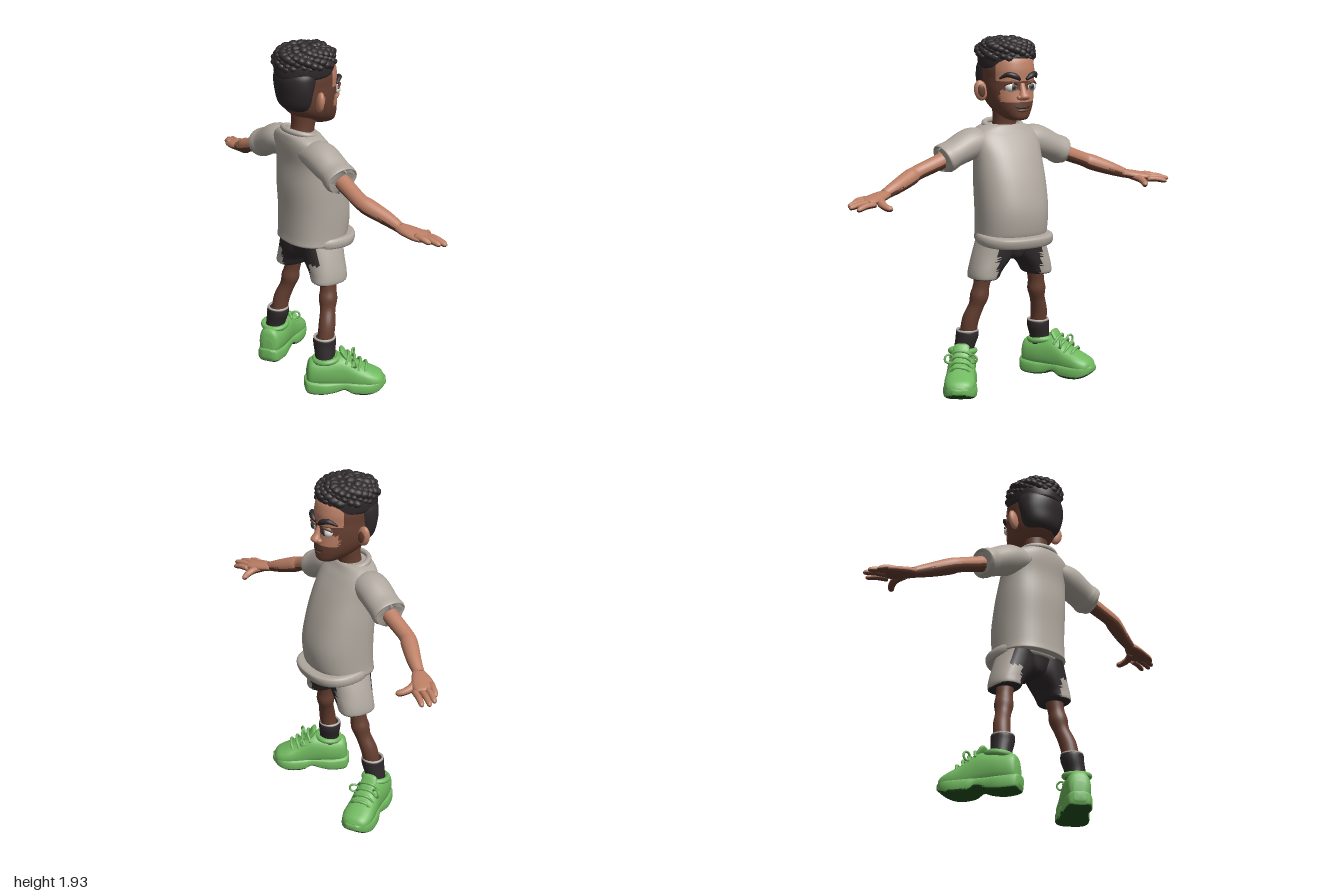
import * as THREE from 'three';

const material = (name, color) => {
  const m = new THREE.MeshStandardMaterial({ color });
  m.name = name;
  return m;
};
const M = {
  skin: material('light skin', 0xbd8066),
  shade: material('dark skin', 0x663f31),
  cloth: material('warm grey cloth', 0xb0a89f),
  dark: material('charcoal', 0x2f292b),
  green: material('shoe green', 0x70b85f),
  sole: material('sole green', 0x23501f),
  white: material('eye white', 0xe2deda),
  iris: material('iris grey', 0x4c4b50),
};
const V = (x, y, z) => new THREE.Vector3(x, y, z);
const UP = V(0, 1, 0), FWD = V(1, 0, 0);

// Smooth body through points [x, y, z, radius along ref, radius across]
function loft(pts, { ref = UP, axis = null, radial = 24, steps = 6, pow = 1 } = {}) {
  const path = new THREE.CatmullRomCurve3(pts.map(p => V(p[0], p[1], p[2])), false, 'catmullrom');
  const radii = new THREE.CatmullRomCurve3(pts.map(p => V(p[3], p[4] ?? p[3], 0)), false, 'catmullrom');
  const rows = (pts.length - 1) * steps, pos = [], index = [];
  const bend = v => Math.sign(v) * Math.abs(v) ** pow;
  for (let i = 0; i <= rows; i++) {
    const c = path.getPoint(i / rows), r = radii.getPoint(i / rows);
    const t = axis ?? path.getTangent(i / rows);
    const n = ref.clone().addScaledVector(t, -ref.dot(t)).normalize();
    const b = t.clone().cross(n);
    for (let j = 0; j < radial; j++) {
      const a = j / radial * Math.PI * 2;
      const p = c.clone().addScaledVector(n, bend(Math.cos(a)) * Math.max(r.x, 0.002))
        .addScaledVector(b, bend(Math.sin(a)) * Math.max(r.y, 0.002));
      pos.push(p.x, p.y, p.z);
    }
  }
  for (let i = 0; i < rows; i++) for (let j = 0; j < radial; j++) {
    const k = (j + 1) % radial, a = i * radial, d = a + radial;
    index.push(a + j, a + k, d + k, a + j, d + k, d + j);
  }
  for (const [row, flip] of [[0, true], [rows, false]]) {
    const c = path.getPoint(row / rows), o = pos.length / 3;
    pos.push(c.x, c.y, c.z);
    for (let j = 0; j < radial; j++) {
      const a = row * radial + j, b = row * radial + (j + 1) % radial;
      index.push(o, flip ? b : a, flip ? a : b);
    }
  }
  const g = new THREE.BufferGeometry();
  g.setAttribute('position', new THREE.Float32BufferAttribute(pos, 3));
  g.setIndex(index);
  g.computeVertexNormals();
  return g;
}

// Sort faces into two material groups by a rule on face normal and centre
function twoTone(g, rule) {
  const p = g.attributes.position, idx = g.index.array, sets = [[], []];
  const tri = new THREE.Triangle(), n = V(), c = V();
  for (let i = 0; i < idx.length; i += 3) {
    tri.setFromAttributeAndIndices(p, idx[i], idx[i + 1], idx[i + 2]);
    tri.getNormal(n);
    tri.getMidpoint(c);
    sets[rule(n, c) ? 1 : 0].push(idx[i], idx[i + 1], idx[i + 2]);
  }
  g.setIndex([...sets[0], ...sets[1]]);
  g.addGroup(0, sets[0].length, 0);
  g.addGroup(sets[0].length, sets[1].length, 1);
  return g;
}
function add(parent, name, geometry, mat) {
  const mesh = new THREE.Mesh(geometry, mat);
  mesh.name = name;
  parent.add(mesh);
  return mesh;
}
const ball = (x, y, z, rx, ry, rz) => new THREE.SphereGeometry(1, 20, 14).scale(rx, ry, rz).translate(x, y, z);
const underside = n => n.y < -0.15;

function buildShoe(parent) {
  const shoe = new THREE.Group();
  shoe.name = 'shoe';
  shoe.position.set(0.005, 0, 0.31);
  shoe.rotation.y = -0.57;
  parent.add(shoe);
  add(shoe, 'shoeUpper', loft([[-0.21, 0.1, 0, 0.04, 0.03], [-0.19, 0.12, 0, 0.08, 0.058], [-0.12, 0.125, 0, 0.085, 0.072],
    [-0.04, 0.13, 0, 0.095, 0.074], [0.01, 0.125, 0, 0.095, 0.075], [0.08, 0.1, 0, 0.075, 0.08], [0.15, 0.085, 0, 0.055, 0.084],
    [0.2, 0.075, 0, 0.04, 0.066], [0.222, 0.07, 0, 0.015, 0.025]], { axis: FWD, pow: 0.85 }), M.green);
  add(shoe, 'shoeSole', twoTone(loft([[-0.222, 0.06, 0, 0.025, 0.03], [-0.2, 0.047, 0, 0.042, 0.062], [-0.12, 0.042, 0, 0.042, 0.078],
    [-0.05, 0.048, 0, 0.036, 0.074], [0, 0.056, 0, 0.028, 0.074], [0.05, 0.045, 0, 0.04, 0.086], [0.13, 0.044, 0, 0.042, 0.092],
    [0.19, 0.056, 0, 0.036, 0.075], [0.228, 0.065, 0, 0.015, 0.03]], { axis: FWD, pow: 0.55 }), n => n.y < -0.5), [M.green, M.sole]);
  add(shoe, 'ankleCollar', new THREE.TorusGeometry(0.066, 0.016, 10, 28).rotateX(Math.PI / 2).rotateZ(0.12).translate(-0.1, 0.205, 0), M.green);
  add(shoe, 'tongue', loft([[0.03, 0.19, 0, 0.014, 0.045], [0, 0.225, 0, 0.016, 0.046], [-0.018, 0.255, 0, 0.014, 0.04],
    [-0.022, 0.265, 0, 0.004, 0.02]], { ref: FWD }), M.green);
  // Laces across the instep, then the bow loops
  for (let i = 0; i < 4; i++) {
    const u = 0.02 + i * 0.033, y = 0.228 - i * 0.021;
    add(shoe, 'lace', loft([[u - 0.015, y - 0.035, -0.062, 0.007], [u, y, -0.03, 0.008], [u, y + 0.004, 0.03, 0.008],
      [u - 0.015, y - 0.035, 0.062, 0.007]], { radial: 8 }), M.green);
  }
  for (const s of [-1, 1])
    add(shoe, 'laceLoop', new THREE.TorusGeometry(0.023, 0.006, 8, 20).rotateY(Math.PI / 2 + s * 0.4).translate(0.05, 0.2, s * 0.066), M.green);
}

function buildHand(parent) {
  const hand = new THREE.Group();
  hand.name = 'hand';
  parent.add(hand);
  const skin = (name, pts) => add(hand, name, twoTone(loft(pts, { radial: 14, steps: 4 }), underside), [M.skin, M.shade]);
  skin('palm', [[0.005, 1.13, 0.74, 0.024, 0.028], [0.022, 1.122, 0.79, 0.026, 0.048], [0.045, 1.112, 0.85, 0.024, 0.058],
    [0.058, 1.108, 0.89, 0.018, 0.052], [0.062, 1.106, 0.9, 0.006, 0.03]]);
  const tips = [[0.04, 1.105, 0.955], [0.072, 1.1, 0.99], [0.105, 1.095, 0.998], [0.13, 1.085, 0.968]];
  tips.forEach(([x, y, z], i) => {
    const bx = 0.016 + i * 0.029, by = 1.117 - i * 0.006, bz = 0.868 - (i === 3 ? 0.012 : 0);
    skin('finger', [[bx, by, bz, 0.016], [(bx + x) / 2, (by + y) / 2 + 0.004, (bz + z) / 2, 0.016],
      [x, y, z - 0.012, 0.013], [x + 0.001, y, z, 0.004]]);
  });
  skin('thumb', [[0.04, 1.115, 0.79, 0.022], [0.09, 1.1, 0.815, 0.021], [0.135, 1.085, 0.81, 0.018],
    [0.16, 1.078, 0.795, 0.015], [0.168, 1.075, 0.788, 0.004]]);
}

// Arm, leg and ear on the +z side
function buildSide() {
  const side = new THREE.Group();
  side.name = 'rightSide';
  add(side, 'sleeve', loft([[-0.075, 1.36, 0.1, 0.06, 0.085], [-0.075, 1.35, 0.2, 0.085, 0.092], [-0.07, 1.305, 0.31, 0.076, 0.09],
    [-0.07, 1.287, 0.35, 0.08, 0.094], [-0.07, 1.276, 0.375, 0.076, 0.09], [-0.07, 1.276, 0.376, 0.045, 0.05]]), M.cloth);
  add(side, 'arm', twoTone(loft([[-0.07, 1.3, 0.3, 0.045], [-0.07, 1.255, 0.42, 0.042], [-0.07, 1.215, 0.53, 0.04],
    [-0.055, 1.195, 0.58, 0.044], [-0.015, 1.158, 0.68, 0.037], [0.008, 1.128, 0.76, 0.027]]), underside), [M.skin, M.shade]);
  buildHand(side);
  add(side, 'shortsLeg', twoTone(loft([[0, 0.84, 0.095, 0.12, 0.09], [0, 0.75, 0.112, 0.112, 0.106], [0, 0.67, 0.155, 0.105, 0.085],
    [-0.003, 0.625, 0.17, 0.1, 0.072], [-0.003, 0.62, 0.17, 0.07, 0.05]], { ref: FWD, axis: V(0, -1, 0), pow: 0.85 }),
  (n, c) => c.z < 0.135 || n.y < -0.6 || (n.x < -0.6 && c.y > 0.73)), [M.cloth, M.dark]);
  add(side, 'leg', loft([[0, 0.68, 0.16, 0.055], [-0.01, 0.58, 0.175, 0.045], [-0.018, 0.52, 0.184, 0.051], [-0.03, 0.46, 0.198, 0.042],
    [-0.052, 0.38, 0.222, 0.046], [-0.07, 0.28, 0.23, 0.045]], { ref: FWD }), M.shade);
  add(side, 'sock', loft([[-0.073, 0.32, 0.23, 0.05], [-0.073, 0.315, 0.23, 0.062], [-0.074, 0.28, 0.232, 0.062],
    [-0.08, 0.22, 0.245, 0.056], [-0.084, 0.15, 0.25, 0.058]], { ref: FWD, axis: V(0, -1, 0) }), M.dark);
  add(side, 'sockRim', new THREE.TorusGeometry(0.055, 0.007, 8, 28).rotateX(Math.PI / 2).translate(-0.073, 0.32, 0.23), M.cloth);
  buildShoe(side);
  // Ear with a darker hollow
  add(side, 'ear', new THREE.SphereGeometry(1, 18, 14).scale(0.022, 0.056, 0.036).rotateY(-0.35).rotateX(0.2).translate(-0.05, 1.635, 0.152), M.skin);
  add(side, 'earHollow', new THREE.SphereGeometry(1, 14, 10).scale(0.008, 0.034, 0.02).rotateY(-0.35).rotateX(0.2).translate(-0.03, 1.635, 0.158), M.shade);
  // Eye, brow
  add(side, 'eye', ball(0.111, 1.66, 0.06, 0.026, 0.027, 0.033), M.white);
  add(side, 'iris', ball(0.1325, 1.66, 0.056, 0.006, 0.017, 0.016), M.iris);
  add(side, 'pupil', ball(0.1365, 1.66, 0.056, 0.004, 0.009, 0.009), M.dark);
  add(side, 'upperLid', loft([[0.122, 1.668, 0.025, 0.006], [0.136, 1.688, 0.06, 0.008], [0.105, 1.672, 0.096, 0.006]], { radial: 10 }), M.shade);
  add(side, 'eyebrow', loft([[0.139, 1.7, 0.02, 0.008], [0.137, 1.718, 0.05, 0.015], [0.118, 1.726, 0.085, 0.013],
    [0.084, 1.705, 0.113, 0.005]], { radial: 12 }), M.dark);
  return side;
}

// Bake a mirrored copy across z, turning the faces round
function mirrored(group) {
  const out = new THREE.Group();
  out.name = 'leftSide';
  group.updateMatrixWorld(true);
  group.traverse(o => {
    if (!o.isMesh) return;
    const g = o.geometry.clone().applyMatrix4(o.matrixWorld).scale(1, 1, -1);
    const a = g.index.array;
    for (let i = 0; i < a.length; i += 3) [a[i], a[i + 1]] = [a[i + 1], a[i]];
    add(out, o.name, g, o.material);
  });
  return out;
}

export function createModel() {
  const model = new THREE.Group();
  model.name = 'boy';
  const tall = { ref: FWD, axis: UP, radial: 40 };

  // Shirt
  add(model, 'shirt', loft([[-0.005, 0.83, 0, 0.165, 0.195], [0.01, 0.88, 0, 0.176, 0.195], [0.015, 1, 0, 0.18, 0.198],
    [-0.005, 1.15, 0, 0.166, 0.198], [-0.028, 1.28, 0, 0.138, 0.194], [-0.058, 1.37, 0, 0.116, 0.2], [-0.074, 1.415, 0, 0.1, 0.178],
    [-0.08, 1.445, 0, 0.088, 0.125], [-0.08, 1.45, 0, 0.07, 0.08]], { ...tall, pow: 0.85 }), M.cloth);
  add(model, 'shirtHem', loft([[-0.005, 0.808, 0, 0.155, 0.19], [-0.005, 0.815, 0, 0.17, 0.207], [-0.003, 0.84, 0, 0.178, 0.213],
    [0, 0.862, 0, 0.175, 0.206], [0, 0.87, 0, 0.16, 0.19]], { ...tall, pow: 0.85 }).rotateZ(-0.06), M.cloth);
  add(model, 'collar', new THREE.TorusGeometry(1, 0.17, 12, 40).rotateX(Math.PI / 2).scale(0.08, 0.09, 0.105)
    .rotateZ(-0.22).translate(-0.078, 1.447, 0), M.cloth);
  add(model, 'shortsSeat', loft([[0, 0.72, 0, 0.06, 0.03], [0, 0.74, 0, 0.1, 0.07], [0, 0.83, 0, 0.12, 0.16]], tall), M.dark);

  // Neck and head
  add(model, 'neck', loft([[-0.07, 1.4, 0, 0.07], [-0.055, 1.48, 0, 0.062, 0.067], [-0.04, 1.58, 0, 0.08]], tall), M.shade);
  add(model, 'head', twoTone(loft([[0.07, 1.478, 0, 0.025, 0.025], [0.063, 1.49, 0, 0.07, 0.056], [0.02, 1.53, 0, 0.12, 0.092],
    [-0.01, 1.58, 0, 0.149, 0.116], [-0.022, 1.64, 0, 0.155, 0.128], [-0.03, 1.7, 0, 0.163, 0.13], [-0.03, 1.76, 0, 0.163, 0.132],
    [-0.03, 1.82, 0, 0.14, 0.115], [-0.03, 1.86, 0, 0.05, 0.05]], { ...tall, pow: 0.9 }),
  (n, c) => !(c.x > 0.05 && (c.y > 1.69 || (c.y > 1.58 && c.y < 1.645 && c.x > 0.07)))), [M.skin, M.shade]);
  add(model, 'nose', loft([[0.125, 1.68, 0, 0.012, 0.014], [0.138, 1.64, 0, 0.018, 0.018], [0.148, 1.612, 0, 0.027, 0.028],
    [0.142, 1.595, 0, 0.022, 0.028], [0.135, 1.588, 0, 0.006, 0.01]], { ref: FWD, axis: V(0, -1, 0) }), M.skin);
  for (const s of [-1, 1]) add(model, 'nostril', ball(0.14, 1.605, s * 0.026, 0.016, 0.013, 0.013), M.skin);
  add(model, 'mouth', loft([[0.118, 1.562, -0.055, 0.003], [0.139, 1.551, -0.025, 0.005], [0.143, 1.549, 0, 0.005],
    [0.139, 1.551, 0.025, 0.005], [0.118, 1.562, 0.055, 0.003]], { radial: 8 }), M.dark);
  add(model, 'lowerLip', ball(0.13, 1.535, 0, 0.016, 0.011, 0.034), M.shade);

  // Hair: close-cut back, crown and curls
  add(model, 'hairBack', loft([[-0.075, 1.55, 0, 0.04, 0.06], [-0.1, 1.6, 0, 0.08, 0.11], [-0.11, 1.68, 0, 0.088, 0.136],
    [-0.1, 1.75, 0, 0.105, 0.14], [-0.09, 1.79, 0, 0.1, 0.13]], tall), M.dark);
  add(model, 'hairCrown', loft([[-0.04, 1.752, 0, 0.16, 0.132], [-0.045, 1.77, 0, 0.166, 0.142], [-0.045, 1.83, 0, 0.162, 0.145],
    [-0.042, 1.885, 0, 0.135, 0.125], [-0.042, 1.91, 0, 0.06, 0.06]], tall), M.dark);
  const flat = v => Math.sign(v) * Math.abs(v) ** 0.8;
  for (let i = 0; i < 120; i++) {
    const h = 1 - i / 119 * 1.3, r = Math.sqrt(Math.max(0, 1 - h * h)), a = i * 2.39996;
    const size = 0.021 + 0.005 * Math.sin(i * 7.3);
    add(model, 'curl', new THREE.SphereGeometry(size, 10, 8).scale(1.25, 0.9, 1).rotateY(i * 1.7)
      .translate(-0.044 + 0.152 * flat(r) * Math.cos(a), 1.835 + 0.07 * flat(h), 0.137 * flat(r) * Math.sin(a)), M.dark);
  }

  const right = buildSide();
  model.add(right, mirrored(right));
  return model;
}
